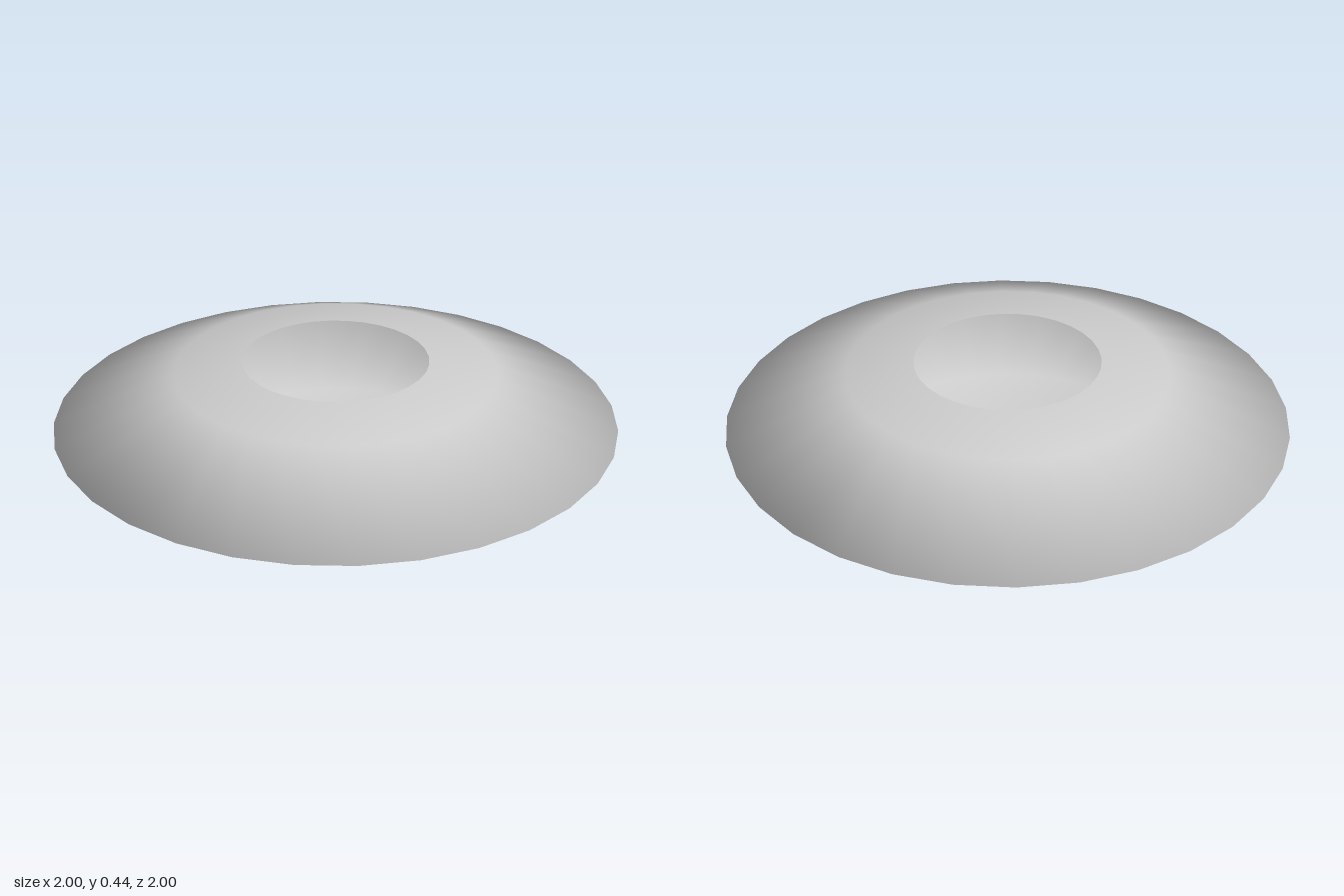
import * as THREE from 'three';

export function createModel() {
  const group = new THREE.Group();
  group.name = 'discRing';

  // Hollow lens-shaped ring, open around the central hole
  const profile = [
    [0.33, 0],
    [0.57, 0.036],
    [1, 0.218],
    [0.57, 0.4],
    [0.33, 0.436],
  ].map(([r, y]) => new THREE.Vector2(r, y));

  const shell = new THREE.Mesh(
    new THREE.LatheGeometry(profile, 32),
    new THREE.MeshStandardMaterial({ color: 0xcccccc, side: THREE.DoubleSide })
  );
  shell.name = 'shell';
  group.add(shell);

  return group;
}
